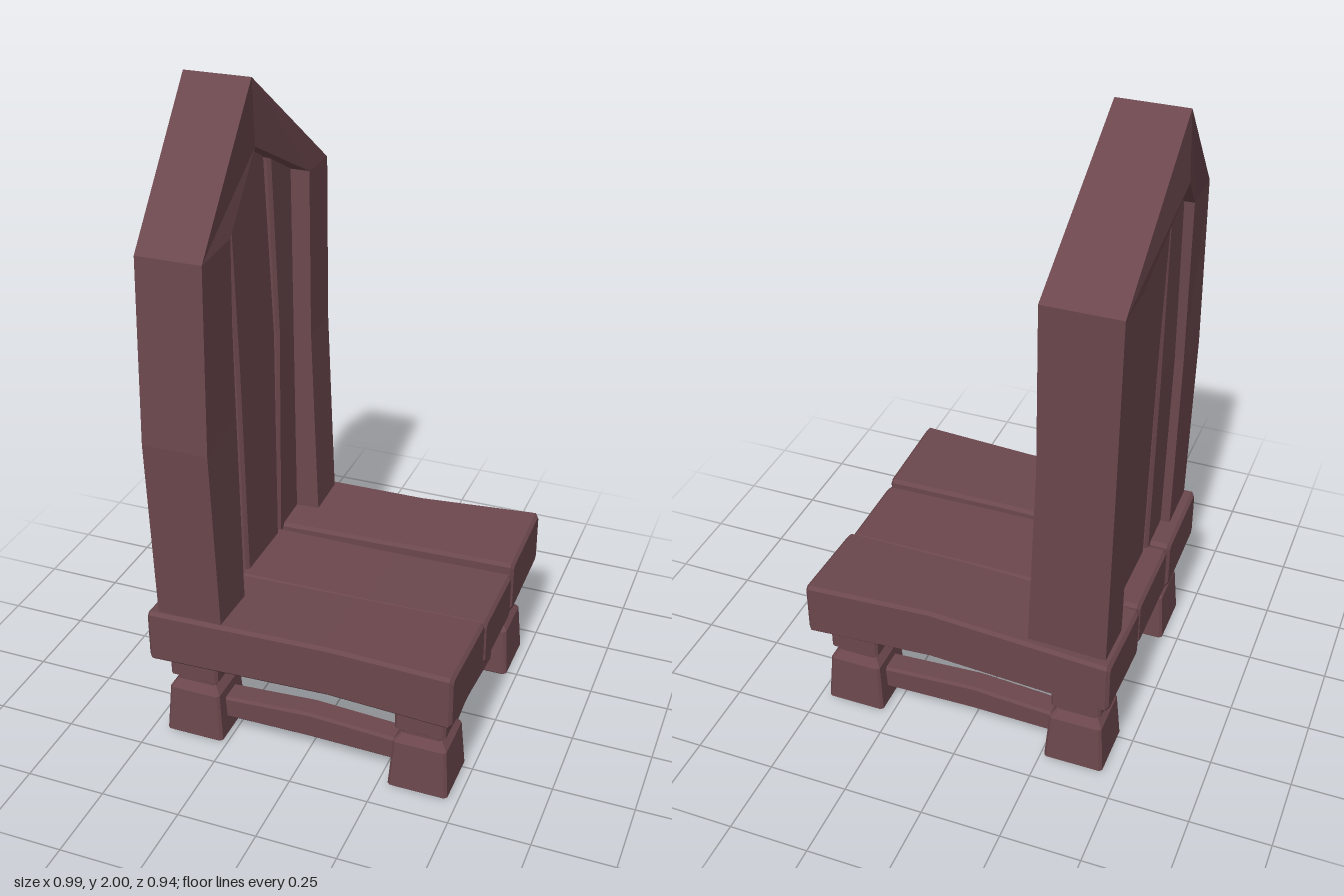
import * as THREE from 'three';

const wood = new THREE.MeshStandardMaterial({ color: 0x6b474d, flatShading: true });
wood.name = 'dark reddish wood';

// Skin a row of equal-length point loops and close both ends
function loft(loops) {
  const pos = [];
  const tri = (a, b, c) => pos.push(...a, ...b, ...c);
  const n = loops[0].length;
  for (let s = 0; s < loops.length - 1; s++) {
    const p = loops[s], q = loops[s + 1];
    for (let i = 0; i < n; i++) {
      const j = (i + 1) % n;
      tri(p[i], p[j], q[j]);
      tri(p[i], q[j], q[i]);
    }
  }
  const first = loops[0], last = loops[loops.length - 1];
  for (let i = 1; i < n - 1; i++) {
    tri(first[0], first[i + 1], first[i]);
    tri(last[0], last[i], last[i + 1]);
  }
  const g = new THREE.BufferGeometry();
  g.setAttribute('position', new THREE.Float32BufferAttribute(pos, 3));
  g.computeVertexNormals();
  return g;
}

// Place (a, b, t) on the axes so that t runs along the chosen axis
const place = {
  x: (a, b, t) => [t, a, b],
  y: (a, b, t) => [b, t, a],
  z: (a, b, t) => [a, b, t],
};

// Chamfered beam from rows [t, a0, a1, b0, b1]; tilt leans a along b
function beam(axis, rows, c = 0.01, tilt = 0) {
  const shrink = ([t, a0, a1, b0, b1], dt) => [t + dt, a0 + c, a1 - c, b0 + c, b1 - c];
  const last = rows.length - 1;
  const all = rows.map((r) => r.slice());
  all[0][0] += c;
  all[last][0] -= c;
  all.unshift(shrink(rows[0], 0));
  all.push(shrink(rows[last], 0));
  return loft(all.map(([t, a0, a1, b0, b1]) => {
    const mid = (b0 + b1) / 2;
    return [
      [a0 + c, b0], [a1 - c, b0], [a1, b0 + c], [a1, b1 - c],
      [a1 - c, b1], [a0 + c, b1], [a0, b1 - c], [a0, b0 + c],
    ].map(([a, b]) => place[axis](a + tilt * (b - mid), b, t));
  }));
}

export function createModel() {
  const model = new THREE.Group();
  const add = (name, geometry) => {
    const m = new THREE.Mesh(geometry, wood);
    m.name = name;
    model.add(m);
  };

  // Seat planks: x, bottom, top, z min, z max
  add('seatPlankRight', beam('x', [
    [-0.475, 0.292, 0.466, 0.155, 0.457],
    [0.1, 0.306, 0.477, 0.153, 0.449],
    [0.49, 0.304, 0.482, 0.144, 0.467],
  ], 0.01, 0.04));
  add('seatPlankMiddle', beam('x', [
    [-0.47, 0.297, 0.455, -0.147, 0.15],
    [0.1, 0.305, 0.457, -0.144, 0.147],
    [0.49, 0.304, 0.46, -0.15, 0.138],
  ]));
  add('seatPlankLeft', beam('x', [
    [-0.475, 0.295, 0.468, -0.46, -0.16],
    [0.1, 0.308, 0.485, -0.44, -0.156],
    [0.49, 0.312, 0.492, -0.471, -0.16],
  ], 0.01, -0.06));

  // Pointed frame: outer z, y, inner z, y, back x outer, back x inner, front x
  const stations = [
    [0.44, 0.44, 0.27, 0.44, -0.44, -0.44, -0.235],
    [0.457, 1.05, 0.276, 1.08, -0.448, -0.448, -0.245],
    [0.425, 1.61, 0.245, 1.62, -0.45, -0.455, -0.25],
    [0.01, 2.0, 0, 1.8, -0.488, -0.498, -0.28],
    [-0.46, 1.63, -0.315, 1.63, -0.475, -0.475, -0.247],
    [-0.442, 1.1, -0.295, 1.1, -0.465, -0.465, -0.24],
    [-0.425, 0.44, -0.275, 0.44, -0.452, -0.452, -0.212],
  ];
  add('backFrame', loft(stations.map(([oz, oy, iz, iy, xo, xi, xf]) => [
    [xi, iy, iz], [xo, oy, oz], [xf, oy, oz], [xf, iy, iz],
  ])));

  // Back panels: y, z min, z max, x min, x max
  add('backPanelRight', beam('y', [
    [0.44, 0.128, 0.3, -0.41, -0.3],
    [1.1, 0.118, 0.3, -0.42, -0.31],
    [1.72, 0.112, 0.27, -0.425, -0.315],
  ]));
  add('backPanelMiddle', beam('y', [
    [0.44, -0.122, 0.12, -0.4, -0.29],
    [1.15, -0.164, 0.108, -0.415, -0.305],
    [1.84, -0.153, 0.102, -0.435, -0.325],
  ]));
  add('backPanelLeft', beam('y', [
    [0.44, -0.3, -0.13, -0.41, -0.29],
    [1.15, -0.32, -0.178, -0.425, -0.3],
    [1.73, -0.33, -0.165, -0.43, -0.31],
  ]));

  // Legs with a pinched neck: y, half width
  const legProfile = [[0, 0.094], [0.165, 0.083], [0.19, 0.062], [0.2, 0.062], [0.215, 0.079], [0.32, 0.079]];
  const legX = [-0.357, 0.375], legZ = [-0.32, 0.32];
  for (const x of legX) for (const z of legZ) {
    add(`${x > 0 ? 'front' : 'back'}Leg${z > 0 ? 'Right' : 'Left'}`,
      beam('y', legProfile.map(([y, h]) => [y, z - h, z + h, x - h, x + h]), 0.008));
  }

  // Slightly bowed stretchers between the legs
  for (const z of legZ) {
    const s = Math.sign(z) * 0.012;
    add('sideStretcher', beam('x', [
      [-0.3, 0.06, 0.135, z - 0.04, z + 0.04],
      [0.0, 0.052, 0.142, z - 0.04 - s, z + 0.04 - s],
      [0.32, 0.057, 0.136, z - 0.04, z + 0.04],
    ], 0.008));
  }
  for (const x of legX) {
    const s = Math.sign(x) * 0.012;
    add('crossStretcher', beam('z', [
      [-0.26, x - 0.04, x + 0.04, 0.05, 0.141],
      [0, x - 0.04 - s, x + 0.04 - s, 0.052, 0.128],
      [0.26, x - 0.04, x + 0.04, 0.05, 0.139],
    ], 0.008));
  }
  return model;
}
